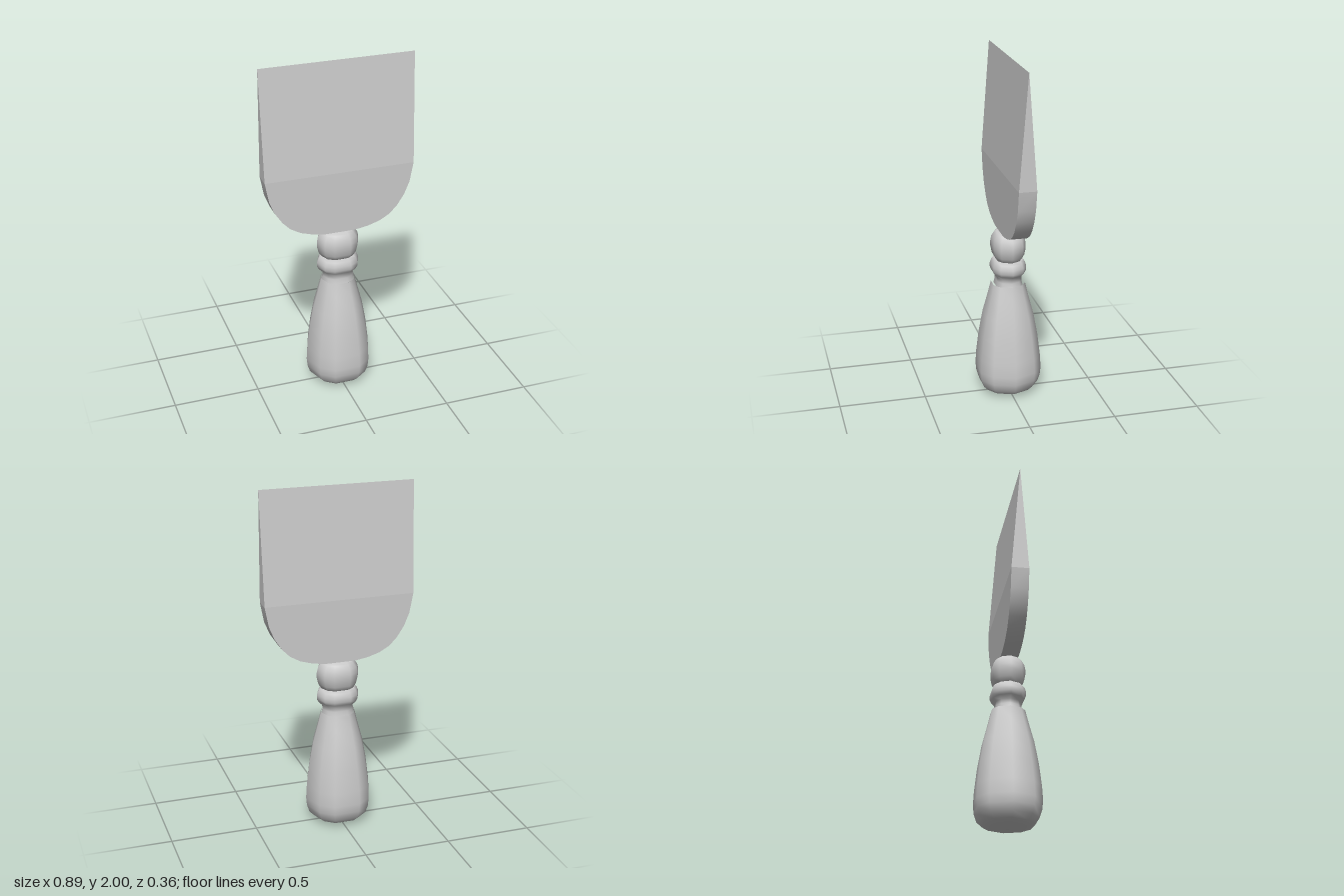
import * as THREE from 'three';
import { mergeVertices, toCreasedNormals } from 'three/addons/utils/BufferGeometryUtils.js';

const material = new THREE.MeshStandardMaterial({ color: 0xcccccc });

// Ten-sided turned part with slightly uneven side widths, flattened in z
function turned(name, profile, depth) {
  const points = profile.map(([r, y]) => new THREE.Vector2(r, y));
  let geometry = new THREE.LatheGeometry(points, 10, Math.PI / 2);
  const p = geometry.attributes.position;
  for (let i = 0; i < p.count; i++) {
    const r = Math.hypot(p.getX(i), p.getZ(i));
    let a = Math.atan2(p.getZ(i), p.getX(i));
    a += 0.09 * Math.sin(4 * a);
    p.setXYZ(i, r * Math.cos(a), p.getY(i), r * Math.sin(a) * depth);
  }
  geometry.deleteAttribute('normal');
  geometry.deleteAttribute('uv');
  geometry = mergeVertices(geometry, 1e-5);
  geometry.computeVertexNormals();
  const mesh = new THREE.Mesh(geometry, material);
  mesh.name = name;
  return mesh;
}

function createBlade() {
  const blade = new THREE.Group();
  blade.name = 'blade';
  const shoulderY = 1.36, halfThickness = 0.05;

  // Rounded lower half of constant thickness
  const side = [[0.435, 1.36], [0.413, 1.245], [0.382, 1.17], [0.34, 1.106],
    [0.295, 1.06], [0.235, 1.026], [0.165, 1.005], [0.09, 0.993]];
  const outline = [
    ...side.map(([x, y]) => [-x, y]),
    ...side.slice().reverse(),
  ].map(([x, y]) => new THREE.Vector2(x, y));
  const lower = new THREE.ExtrudeGeometry(new THREE.Shape(outline),
    { depth: 2 * halfThickness, bevelEnabled: false });
  lower.translate(0, 0, -halfThickness);
  const base = new THREE.Mesh(toCreasedNormals(lower, 0.6), material);
  base.name = 'bladeBase';

  // Wedge narrowing to the straight cutting edge
  const wedge = new THREE.BoxGeometry(0.87, 2 - shoulderY, 2 * halfThickness);
  wedge.translate(0, (2 + shoulderY) / 2, 0);
  const p = wedge.attributes.position;
  for (let i = 0; i < p.count; i++) {
    if (p.getY(i) > 1.9) p.setXYZ(i, Math.sign(p.getX(i)) * 0.443, 2, 0);
  }
  wedge.computeVertexNormals();
  const edge = new THREE.Mesh(wedge, material);
  edge.name = 'bladeEdge';

  blade.add(base, edge);
  return blade;
}

export function createModel() {
  const group = new THREE.Group();
  group.name = 'cheeseKnife';

  // Grip, swelling toward the butt
  group.add(turned('grip', [
    [0, 0], [0.09, 0.01], [0.145, 0.025], [0.175, 0.055], [0.19, 0.1],
    [0.195, 0.15], [0.19, 0.23], [0.174, 0.36], [0.15, 0.49],
    [0.12, 0.6], [0.1, 0.68],
  ], 1));

  // Neck, collar ring and ball below the blade
  group.add(turned('collar', [
    [0.1, 0.67], [0.092, 0.7], [0.093, 0.725], [0.114, 0.745], [0.125, 0.765],
    [0.125, 0.79], [0.115, 0.815], [0.1, 0.828], [0, 0.83],
  ], 0.83));
  group.add(turned('ball', [
    [0, 0.82], [0.095, 0.826], [0.115, 0.855], [0.125, 0.895], [0.125, 0.925],
    [0.118, 0.955], [0.1, 0.98], [0.085, 0.99], [0, 1.0],
  ], 0.8));

  group.add(createBlade());
  return group;
}
